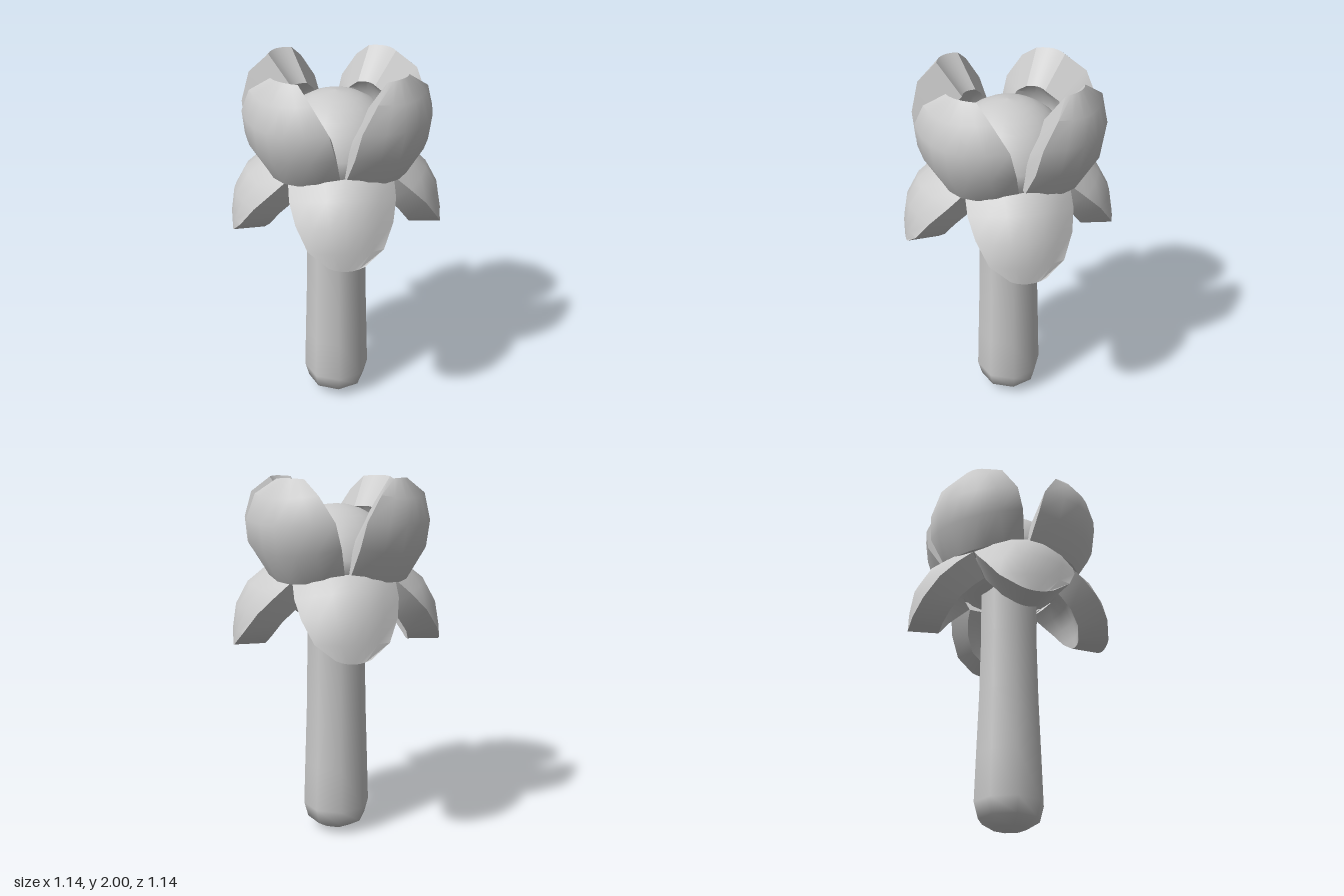
import * as THREE from 'three';
import { toCreasedNormals } from 'three/addons/utils/BufferGeometryUtils.js';

const material = new THREE.MeshStandardMaterial({ color: 0xcccccc });

// Thick curved petal facing +z. Rows run bottom to top:
// [centre y, centre radius, edge y, edge radius, half width].
// The inner skin is the outer one scaled about (0, pivotY, 0).
function petalGeometry(rows, pivotY, scale, cols = 6) {
  const pos = [], index = [], n = cols + 1, skin = rows.length * n;
  for (const s of [1, scale]) {
    for (const [yc, rc, ye, re, w] of rows) {
      for (let j = 0; j < n; j++) {
        const u = (2 * j) / cols - 1, k = 1 - u * u;
        const y = ye + (yc - ye) * k, r = re + (rc - re) * k;
        pos.push(u * w * s, pivotY + (y - pivotY) * s, r * s);
      }
    }
  }
  const quad = (a, b, c, d) => index.push(a, b, c, a, c, d);
  for (let i = 0; i < rows.length - 1; i++) {
    for (let j = 0; j < cols; j++) {
      const a = i * n + j, b = a + 1, c = b + n, d = a + n;
      quad(a, b, c, d);
      quad(skin + d, skin + c, skin + b, skin + a);
    }
  }
  // rim wall around the outline
  const loop = [], last = rows.length - 1;
  for (let j = 0; j < cols; j++) loop.push(j);
  for (let i = 0; i < last; i++) loop.push(i * n + cols);
  for (let j = cols; j > 0; j--) loop.push(last * n + j);
  for (let i = last; i > 0; i--) loop.push(i * n);
  loop.forEach((a, i) => {
    const b = loop[(i + 1) % loop.length];
    quad(a, skin + a, skin + b, b);
  });
  const g = new THREE.BufferGeometry();
  g.setAttribute('position', new THREE.Float32BufferAttribute(pos, 3));
  g.setIndex(index);
  return toCreasedNormals(g, 0.75);
}

function lathe(points, sides) {
  return new THREE.LatheGeometry(points.map(([x, y]) => new THREE.Vector2(x, y)), sides);
}

export function createModel() {
  const group = new THREE.Group();
  const add = (geometry, name, angle = 0) => {
    const mesh = new THREE.Mesh(geometry, material);
    mesh.name = name;
    mesh.rotation.y = angle;
    group.add(mesh);
  };

  // stem with a blunt rounded foot
  add(lathe([
    [0, 0.005], [0.09, 0.02], [0.165, 0.065], [0.188, 0.15], [0.18, 0.4],
    [0.168, 0.75], [0.162, 1.1], [0.165, 1.42],
  ], 8), 'stem');

  // round core between the petals
  const core = [[0.15, 1.36], [0.28, 1.41]];
  for (let i = 0; i <= 8; i++) {
    const a = (i / 8) * Math.PI / 2;
    core.push([i === 8 ? 0 : 0.34 * Math.cos(a), 1.52 + 0.34 * Math.sin(a)]);
  }
  add(lathe(core, 20), 'core');

  // upright petals on the diagonals, drooping leaves on the axes
  const petal = petalGeometry([
    [1.47, 0.41, 1.51, 0.28, 0.26],
    [1.62, 0.50, 1.66, 0.37, 0.305],
    [1.77, 0.525, 1.79, 0.40, 0.29],
    [1.90, 0.49, 1.92, 0.425, 0.205],
    [2.00, 0.42, 1.995, 0.39, 0.09],
  ], 1.52, 0.65);
  const leaf = petalGeometry([
    [1.105, 0.57, 1.125, 0.565, 0.09],
    [1.20, 0.57, 1.20, 0.525, 0.19],
    [1.33, 0.55, 1.31, 0.45, 0.245],
    [1.45, 0.485, 1.40, 0.36, 0.27],
    [1.525, 0.39, 1.475, 0.275, 0.27],
  ], 1.11, 0.7);
  for (let i = 0; i < 4; i++) {
    const angle = (i * Math.PI) / 2;
    add(petal, 'upperPetal', angle + Math.PI / 4);
    add(leaf, 'lowerLeaf', angle);
  }
  return group;
}
